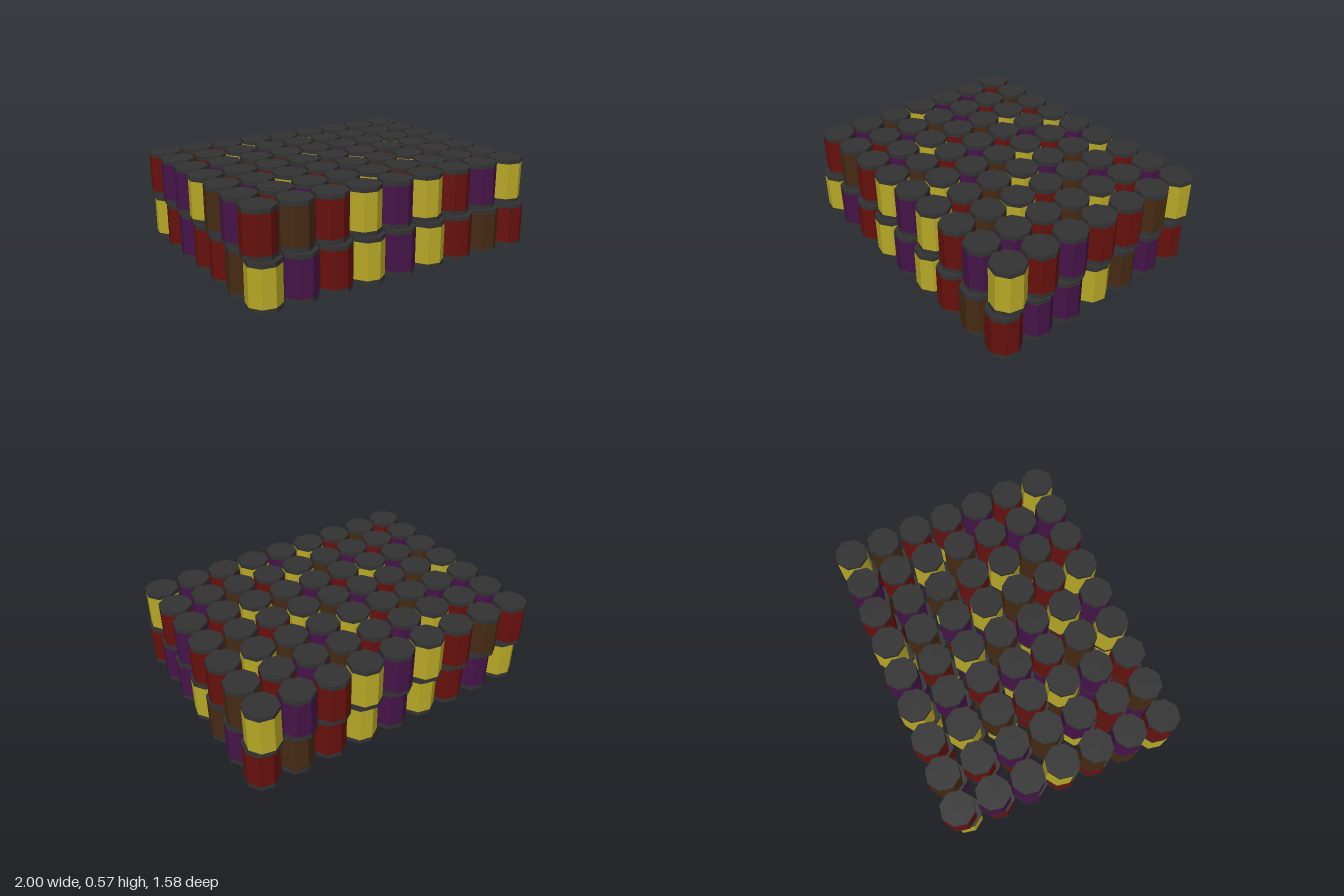
import * as THREE from 'three';

const SIDES = 8, RADIUS = 0.106, HEIGHT = 0.287, BAND = 0.028, PITCH = 0.2233;

// Barrel colours of one layer, rows from front to back, columns from -x to +x
const LAYOUT = [
  'YPRYPYRBR',
  'BRPBRPYRP',
  'RYBPYRBPP',
  'RBRYBPRBY',
  'PRYBPRYPB',
  'RPBRYBPRP',
  'YPRYPYRBR',
];

export function createModel() {
  const model = new THREE.Group();
  model.name = 'barrelStack';

  const paint = (color) => new THREE.MeshStandardMaterial({ color, flatShading: true });
  const paints = {
    Y: paint(0xb8a826),
    R: paint(0x66110d),
    P: paint(0x451448),
    B: paint(0x452a13),
  };
  const dark = paint(0x333333);

  const bodyGeometry = new THREE.CylinderGeometry(RADIUS, RADIUS, HEIGHT - 2 * BAND, SIDES, 1, true);
  const capGeometry = new THREE.CylinderGeometry(RADIUS, RADIUS, BAND, SIDES);

  function addPart(parent, name, geometry, material, y) {
    const mesh = new THREE.Mesh(geometry, material);
    mesh.name = name;
    mesh.position.y = y;
    parent.add(mesh);
  }

  // Eight-sided barrel, coloured body between two dark caps
  function makeBarrel(key) {
    const barrel = new THREE.Group();
    barrel.name = 'barrel';
    barrel.rotation.y = 0.2;
    addPart(barrel, 'body', bodyGeometry, paints[key], HEIGHT / 2);
    addPart(barrel, 'bottomCap', capGeometry, dark, BAND / 2);
    addPart(barrel, 'topCap', capGeometry, dark, HEIGHT - BAND / 2);
    return barrel;
  }

  // A layer sits slightly off centre
  function makeLayer(name) {
    const layer = new THREE.Group();
    layer.name = name;
    LAYOUT.forEach((row, r) => {
      [...row].forEach((key, c) => {
        const barrel = makeBarrel(key);
        barrel.position.set((c - 4) * PITCH + 0.0025, 0, (3 - r) * PITCH + 0.016);
        layer.add(barrel);
      });
    });
    model.add(layer);
    return layer;
  }

  // The upper layer is the lower one turned half round
  makeLayer('lowerLayer');
  const upper = makeLayer('upperLayer');
  upper.position.y = HEIGHT;
  upper.rotation.y = Math.PI;

  return model;
}
